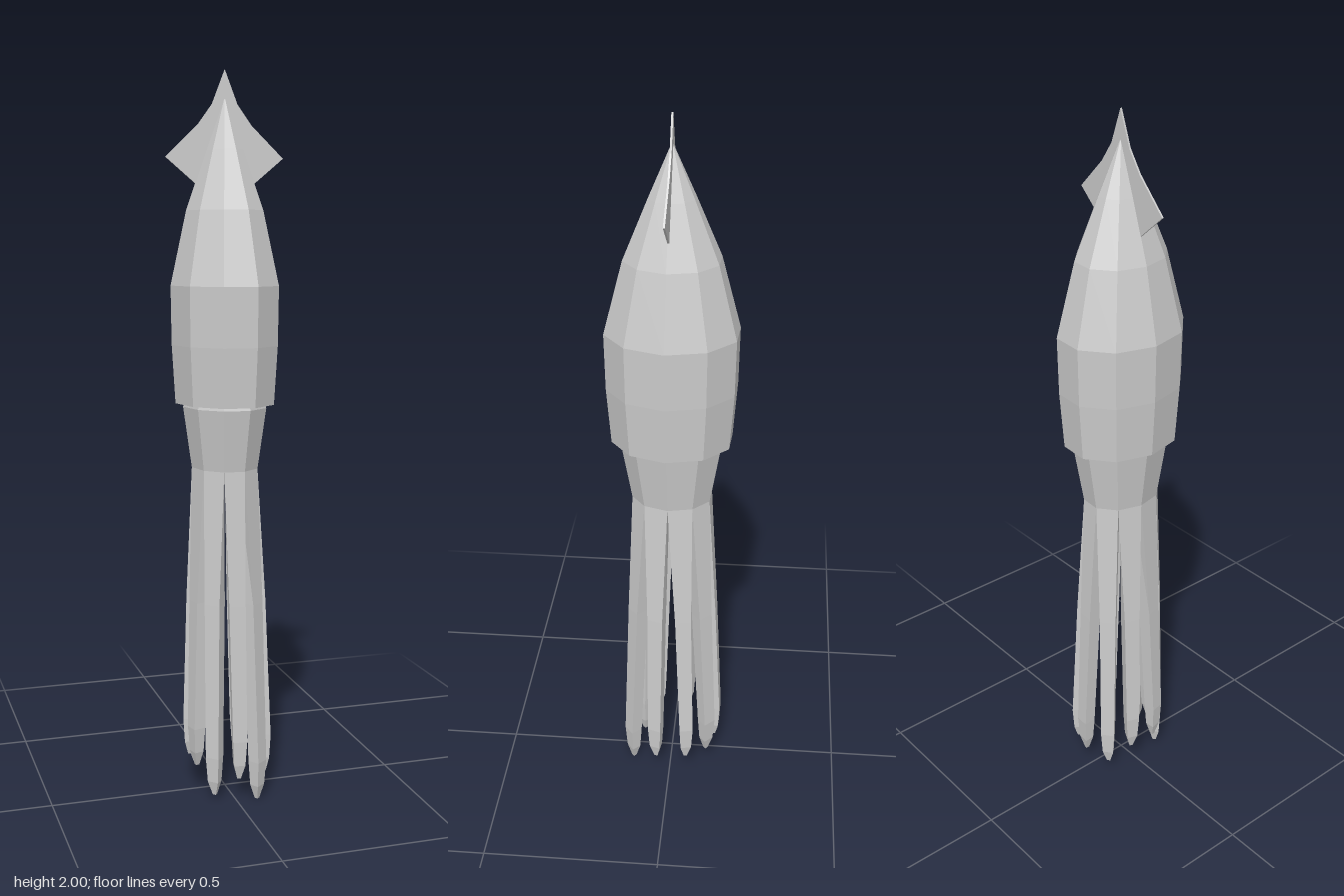
import * as THREE from 'three';

const SIDES = 10, RX = 0.15, RZ = 0.183;
const material = new THREE.MeshStandardMaterial({ color: 0xcccccc, flatShading: true, side: THREE.DoubleSide });
const rad = THREE.MathUtils.degToRad;

function part(name, geometry) {
  const mesh = new THREE.Mesh(geometry, material);
  mesh.name = name;
  return mesh;
}

// Ten-sided oval body from a profile of [radius fraction, height]
function ovalLathe(profile) {
  const points = profile.map(([r, y]) => new THREE.Vector2(r, y));
  return new THREE.LatheGeometry(points, SIDES, rad(15)).scale(RX, 1, RZ);
}

// Four-cornered skin through a list of cross-sections, closed at both ends
function skin(sections) {
  const index = [];
  for (let s = 0; s < sections.length - 1; s++) {
    for (let i = 0; i < 4; i++) {
      const a = s * 4 + i, b = s * 4 + (i + 1) % 4;
      index.push(a, b, a + 4, b, b + 4, a + 4);
    }
  }
  const e = (sections.length - 1) * 4;
  index.push(0, 2, 1, 0, 3, 2, e, e + 1, e + 2, e, e + 2, e + 3);
  const geometry = new THREE.BufferGeometry();
  geometry.setAttribute('position', new THREE.Float32BufferAttribute(sections.flat(2), 3));
  geometry.setIndex(index);
  geometry.computeVertexNormals();
  return geometry;
}

// One arm: a wedge under one face of the head, narrowing to a blunt tip
function armGeometry(angle, tipX, tipZ, tipY) {
  const rim = (deg, f) => [RX * f * Math.cos(rad(deg)), 0.935, RZ * f * Math.sin(rad(deg))];
  const top = [rim(angle - 18, 0.62), rim(angle + 18, 0.62), rim(angle + 18, 0.36), rim(angle - 18, 0.36)];
  const out = new THREE.Vector2(Math.cos(rad(angle)) / RX, Math.sin(rad(angle)) / RZ).normalize();
  const ring = (t, halfWidth, depth, y) => {
    const cx = THREE.MathUtils.lerp(RX * 0.49 * Math.cos(rad(angle)), tipX, t);
    const cz = THREE.MathUtils.lerp(RZ * 0.49 * Math.sin(rad(angle)), tipZ, t);
    return [[-1, 1], [1, 1], [0.8, -1], [-0.8, -1]].map(([w, d]) => [
      cx - out.y * w * halfWidth + out.x * d * depth, y,
      cz + out.x * w * halfWidth + out.y * d * depth]);
  };
  return skin([
    top,
    ring(0.5, 0.023, 0.02, 0.56),
    ring(1, 0.02, 0.018, tipY + 0.11),
    ring(1, 0.016, 0.014, tipY + 0.04),
    ring(1, 0.005, 0.005, tipY),
  ]);
}

// Flat tail fin, pointed above and swept out to both sides
function finGeometry() {
  const half = [[0.035, 1.91], [0.075, 1.855], [0.163, 1.77], [0.08, 1.70], [0.045, 1.74]];
  const outline = [[0, 2], ...half, ...half.slice().reverse().map(([x, y]) => [-x, y])];
  const shape = new THREE.Shape(outline.map(([x, y]) => new THREE.Vector2(x, y)));
  const geometry = new THREE.ExtrudeGeometry(shape, { depth: 0.005, bevelEnabled: false });
  return geometry.translate(0, 0, -0.0025).rotateY(-0.04);
}

export function createModel() {
  const model = new THREE.Group();
  model.name = 'squid';

  // Mantle with its hem turned inward
  model.add(part('mantle', ovalLathe([
    [0.7, 1.13], [0.92, 1.11], [0.985, 1.27], [1, 1.43], [0.71, 1.63], [0.34, 1.79], [0, 1.93],
  ])));

  // Head, closed at both ends
  model.add(part('head', ovalLathe([
    [0, 0.93], [0.62, 0.93], [0.78, 1.10], [0.72, 1.14], [0, 1.14],
  ])));

  model.add(part('tailFin', finGeometry()));

  // Arms: angle around the head, tip x, tip z, tip height
  const arms = new THREE.Group();
  arms.name = 'arms';
  [
    [21, 0.106, 0.04, 0.05], [57, 0.06, 0.114, 0.0], [93, 0.006, 0.115, 0.065],
    [129, -0.055, 0.09, 0.015], [165, -0.095, 0.045, 0.09], [201, -0.092, -0.04, 0.09],
    [237, -0.058, -0.098, 0.04], [273, 0.008, -0.13, 0.065], [309, 0.072, -0.108, 0.06],
    [345, 0.105, -0.048, 0.055],
  ].forEach((a, i) => arms.add(part('arm' + (i + 1), armGeometry(...a))));
  model.add(arms);

  return model;
}
